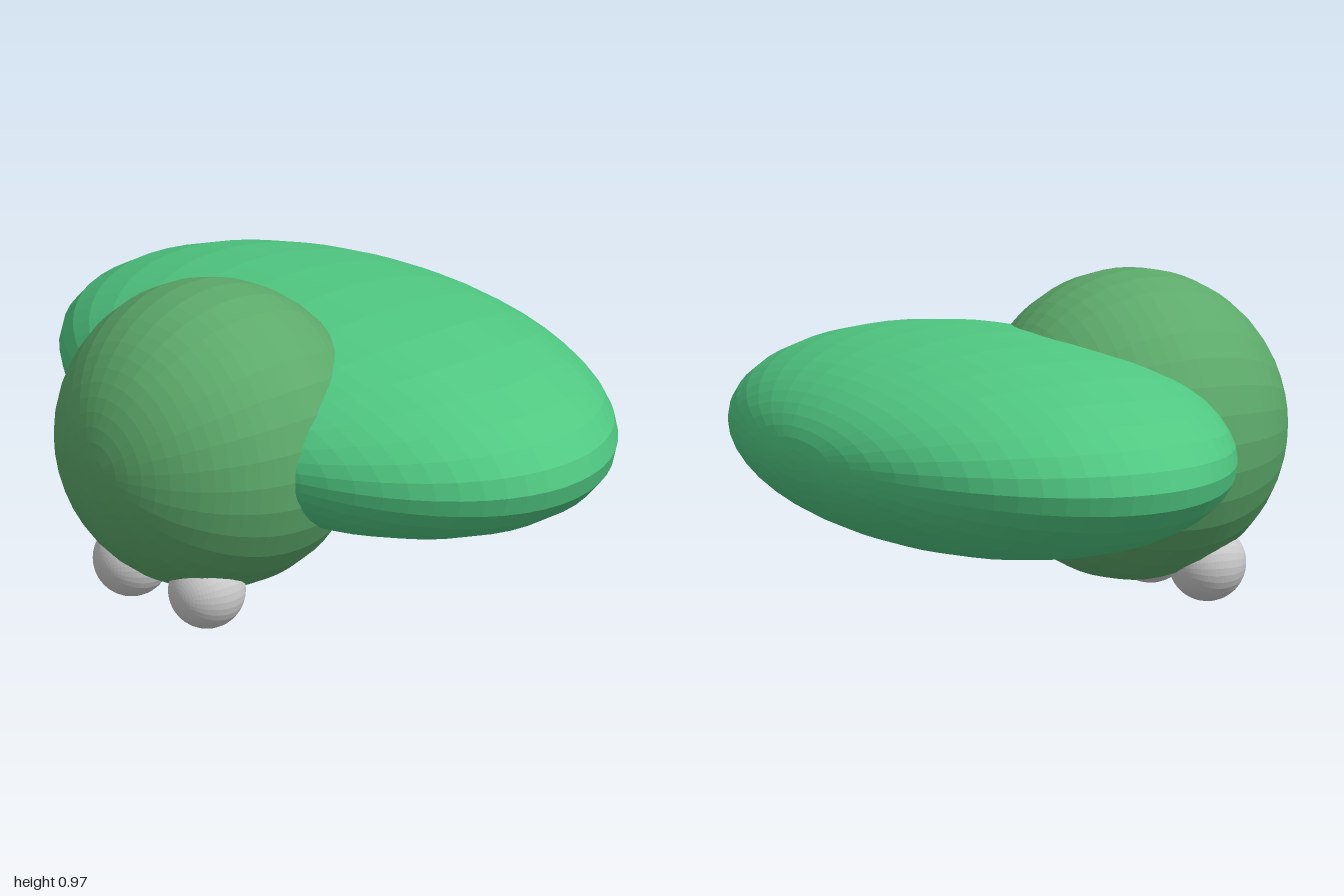
import * as THREE from 'three';

// Faceted ellipsoid whose poles lie along z
function ellipsoid(name, radii, position, color) {
  const geometry = new THREE.SphereGeometry(1, 32, 32);
  geometry.rotateX(Math.PI / 2);
  geometry.scale(...radii);
  const material = new THREE.MeshStandardMaterial({ color, flatShading: true });
  const mesh = new THREE.Mesh(geometry, material);
  mesh.name = name;
  mesh.position.set(...position);
  return mesh;
}

export function createModel() {
  const group = new THREE.Group();
  group.name = 'creature';

  // Wide flattened body behind the round head
  group.add(ellipsoid('body', [1, 0.315, 0.64], [0, 0.515, -0.16], 0x50c882));
  group.add(ellipsoid('head', [0.458, 0.458, 0.458], [0, 0.515, 0.342], 0x5daa6b));

  // Small balls under the front of the head
  for (const [side, name] of [[1, 'leftFoot'], [-1, 'rightFoot']]) {
    group.add(ellipsoid(name, [0.114, 0.114, 0.114], [side * 0.166, 0.114, 0.502], 0xcccccc));
  }
  return group;
}
